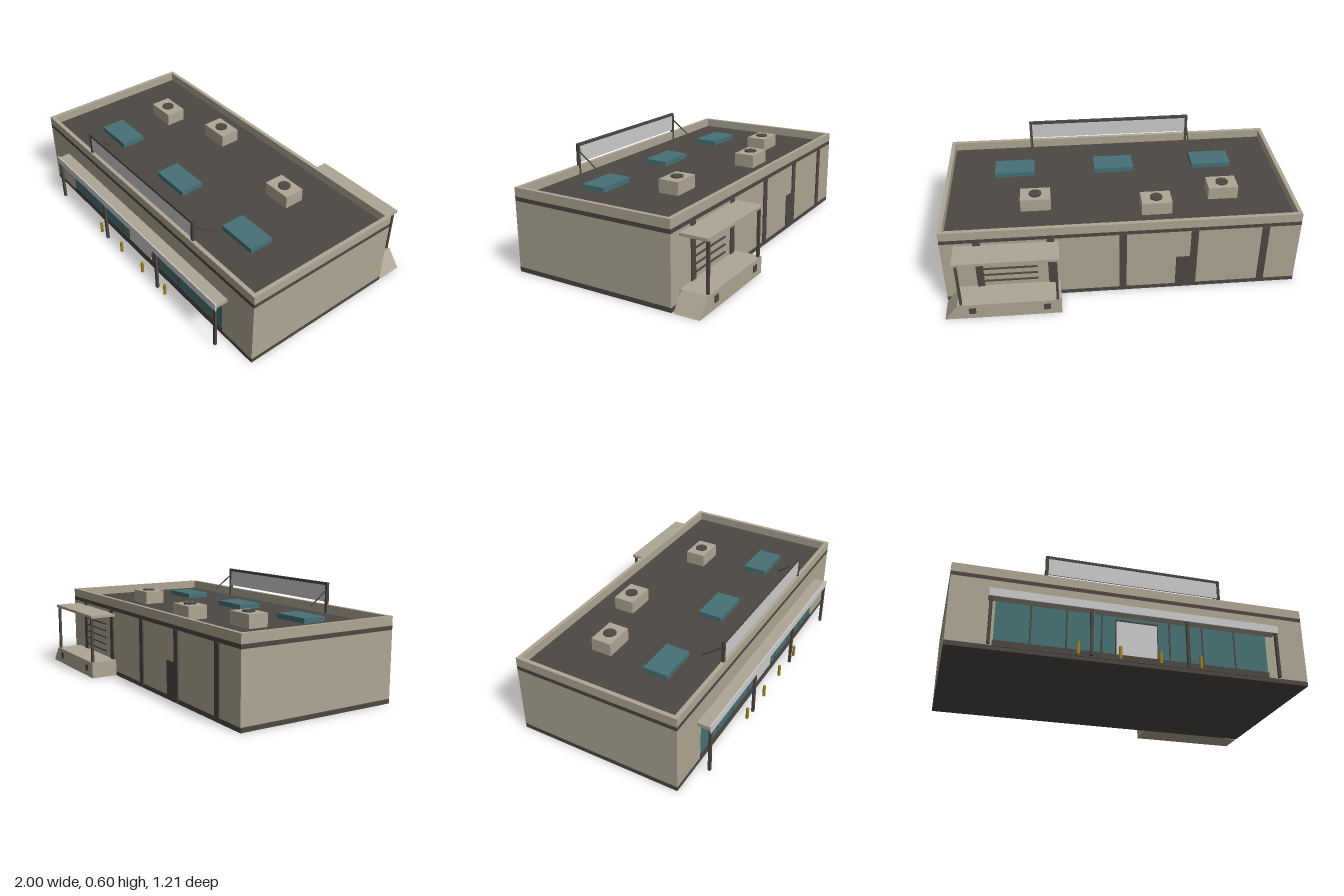
import * as THREE from 'three';

const mat = (name, color) => {
  const m = new THREE.MeshStandardMaterial({ color });
  m.name = name;
  return m;
};

export function createModel() {
  const wall = mat('beige wall', 0xaea694);
  const dark = mat('dark trim', 0x4c4843);
  const grey = mat('light grey panel', 0xcccccc);
  const teal = mat('teal glass', 0x467175);
  const yellow = mat('yellow bollard', 0xa58422);
  const model = new THREE.Group();
  model.name = 'storeBuilding';

  const add = (name, geo, material) => {
    const mesh = new THREE.Mesh(geo, material);
    mesh.name = name;
    model.add(mesh);
    return mesh;
  };
  // Box given by its low and high limits on each axis
  const box = (name, m, x0, x1, y0, y1, z0, z1) => {
    const mesh = add(name, new THREE.BoxGeometry(x1 - x0, y1 - y0, z1 - z0), m);
    mesh.position.set((x0 + x1) / 2, (y0 + y1) / 2, (z0 + z1) / 2);
    return mesh;
  };

  // Main body stacked in flush layers; the dark roof slab shows as a band on the walls
  const back = -0.44, front = 0.523, rim = 0.023;
  box('base', dark, -1, 1, 0, 0.026, back, front);
  box('body', wall, -1, 1, 0.026, 0.4, back, front);
  box('roofSlab', dark, -1, 1, 0.4, 0.423, back, front);

  // Parapet around the roof
  box('parapetRight', wall, -1, -1 + rim, 0.423, 0.474, back, front);
  box('parapetLeft', wall, 1 - rim, 1, 0.423, 0.474, back, front);
  box('parapetBack', wall, -1 + rim, 1 - rim, 0.423, 0.474, back, back + rim);
  box('parapetFront', wall, -1 + rim, 1 - rim, 0.423, 0.474, front - rim, front);

  // Shop front: glazing, mullions, sill and door
  box('shopWindow', teal, -0.76, 0.76, 0.05, 0.28, 0.518, 0.5242);
  for (const i of [-3, -2, -1, 1, 2, 3]) {
    const x = i * 0.19 - 0.004;
    box('mullion', dark, x - 0.005, x + 0.005, 0.05, 0.28, 0.518, 0.5255);
  }
  box('windowSill', dark, -0.765, 0.765, 0.02, 0.055, 0.518, 0.527);
  box('doorFrame', dark, -0.12, 0.12, 0.05, 0.262, 0.518, 0.5255);
  box('frontDoor', grey, -0.114, 0.114, 0.055, 0.25, 0.52, 0.527);

  // Front canopy on four posts
  box('frontCanopy', wall, -0.8, 0.8, 0.277, 0.299, 0.52, 0.597);
  box('canopyFascia', grey, -0.803, 0.803, 0.265, 0.31, 0.596, 0.603);
  for (const x of [-0.79, -0.265, 0.265, 0.79]) {
    box('canopyPost', dark, x - 0.008, x + 0.008, 0, 0.278, 0.586, 0.601);
  }

  // Bollards
  for (const x of [-0.335, -0.11, 0.11, 0.335]) {
    add('bollard', new THREE.CylinderGeometry(0.009, 0.009, 0.07, 10), yellow).position.set(x, 0.035, 0.591);
  }

  // Roof sign with frame and rear braces
  box('signPanel', grey, -0.49, 0.49, 0.49, 0.588, 0.503, 0.512);
  box('signTopBar', dark, -0.505, 0.505, 0.587, 0.602, 0.499, 0.516);
  for (const s of [-1, 1]) {
    const x = s * 0.497;
    box('signPost', dark, x - 0.008, x + 0.008, 0.42, 0.59, 0.499, 0.516);
    const path = new THREE.LineCurve3(new THREE.Vector3(x, 0.56, 0.503), new THREE.Vector3(x, 0.472, 0.386));
    add('signBrace', new THREE.TubeGeometry(path, 1, 0.004, 6), dark);
  }

  // Skylights
  for (const x of [-0.6, 0, 0.6]) {
    box('skylight', teal, x - 0.119, x + 0.119, 0.42, 0.452, 0.16, 0.302);
  }

  // Rooftop air units with fans
  for (const [x, z] of [[-0.605, -0.12], [-0.205, -0.24], [0.475, -0.145]]) {
    box('airUnit', wall, x - 0.086, x + 0.086, 0.42, 0.499, z - 0.06, z + 0.06);
    add('airUnitFan', new THREE.CylinderGeometry(0.036, 0.036, 0.008, 16), dark).position.set(x, 0.502, z);
  }

  // Rear pilasters and service door
  for (const x of [-0.8, -0.4, 0, 0.4, 0.8]) {
    box('rearPilaster', dark, x - 0.02, x + 0.02, 0.02, 0.402, -0.447, -0.436);
  }
  box('rearDoor', dark, -0.42, -0.302, 0.01, 0.222, -0.446, -0.436);

  // Loading dock with ramp, bumpers and roller door
  box('loadingDock', wall, 0.355, 0.925, 0, 0.095, -0.598, -0.438);
  const wedge = new THREE.Shape([[0.925, 0], [1, 0], [0.925, 0.095]].map(p => new THREE.Vector2(...p)));
  add('dockRamp', new THREE.ExtrudeGeometry(wedge, { depth: 0.146, bevelEnabled: false }), wall).position.z = -0.597;
  for (const x of [0.435, 0.845]) {
    box('dockBumper', dark, x - 0.019, x + 0.019, 0.035, 0.072, -0.603, -0.597);
  }
  for (let i = 0; i < 5; i++) {
    const y = 0.128 + i * 0.043;
    box('rollerDoorSlat', dark, 0.48, 0.785, y, y + 0.007, -0.449, -0.436);
  }

  // Dock canopy on two posts
  box('dockCanopy', wall, 0.355, 0.925, 0.368, 0.384, -0.598, -0.438);
  for (const x of [0.375, 0.905]) {
    box('dockPost', dark, x - 0.007, x + 0.007, 0.095, 0.37, -0.594, -0.579);
  }

  return model;
}
